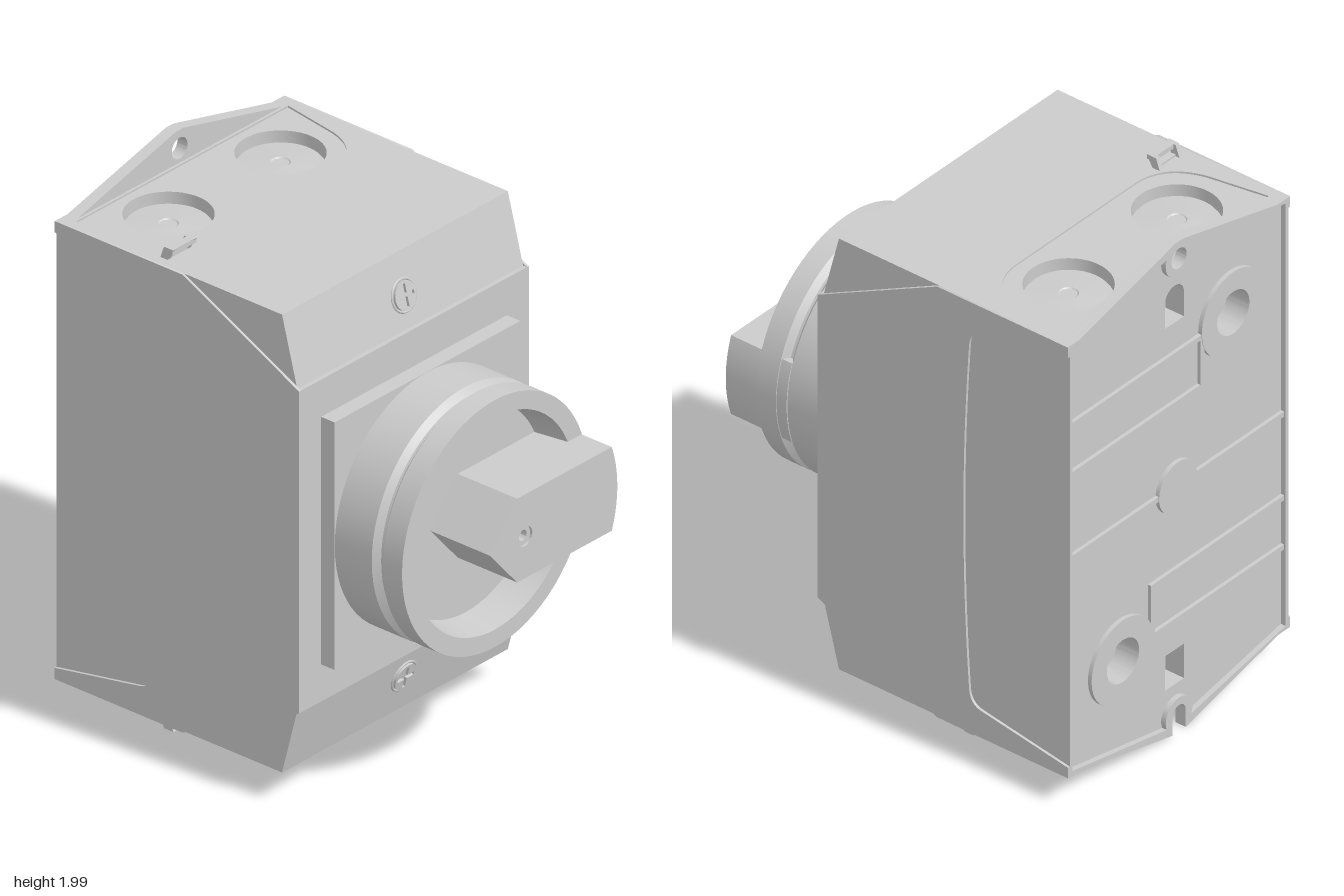
import * as THREE from 'three';
import { toCreasedNormals } from 'three/addons/utils/BufferGeometryUtils.js';

const mat = new THREE.MeshStandardMaterial({ color: 0xcccccc });
const V = (x, y) => new THREE.Vector2(x, y);
const poly = (pts) => new THREE.Shape(pts.map(([x, y]) => V(x, y)));
const rect = (x0, y0, x1, y1) => poly([[x0, y0], [x1, y0], [x1, y1], [x0, y1]]);
const circle = (x, y, r) => new THREE.Shape().absarc(x, y, r, 0, Math.PI * 2, false);
const holed = (shape, ...holes) => { shape.holes.push(...holes); return shape; };

function add(parent, name, geo, x = 0, y = 0, z = 0) {
  const m = new THREE.Mesh(geo, mat);
  m.name = name;
  m.position.set(x, y, z);
  parent.add(m);
  return m;
}
// Extrusion along z from z0 to z1
function slab(shape, z0, z1) {
  const g = new THREE.ExtrudeGeometry(shape, { depth: z1 - z0, bevelEnabled: false, curveSegments: 32 });
  return toCreasedNormals(g.translate(0, 0, z0), 0.5);
}
// Shape (-z, y) extruded along x; shape (x, -z) extruded along y
const sideSlab = (shape, x0, x1) => slab(shape, x0, x1).rotateY(Math.PI / 2);
const flatSlab = (shape, y0, y1) => slab(shape, y0, y1).rotateX(-Math.PI / 2);
// Turned part with its axis along y
const turned = (pts) => toCreasedNormals(new THREE.LatheGeometry(pts.map(([r, y]) => V(r, y)), 72), 0.5);

// Upright slot with rounded top
function archSlot(x, y0, y1, w) {
  const s = new THREE.Shape();
  s.moveTo(x - w, y0);
  s.lineTo(x + w, y0);
  s.lineTo(x + w, y1 - w);
  s.absarc(x, y1 - w, w, 0, Math.PI, false);
  return s;
}

// Pointed back outline with an open notch at the bottom
function backOutline() {
  const s = new THREE.Shape();
  s.moveTo(0.035, 0.008);
  s.lineTo(0.52, 0.125);
  s.lineTo(0.575, 0.125);
  s.lineTo(0.575, 1.875);
  s.lineTo(0.52, 1.875);
  s.lineTo(0.02, 2);
  s.lineTo(-0.02, 2);
  s.lineTo(-0.52, 1.875);
  s.lineTo(-0.575, 1.875);
  s.lineTo(-0.575, 0.125);
  s.lineTo(-0.52, 0.125);
  s.lineTo(-0.035, 0.008);
  s.lineTo(-0.035, 0.08);
  s.absarc(0, 0.08, 0.035, Math.PI, 0, true);
  return s;
}

// Inside edge of the back rim, passing around both mounting holes
function rimOpening() {
  const s = new THREE.Shape();
  s.moveTo(0.56, 0.142);
  s.lineTo(0.56, 1.858);
  s.absarc(0, 1.93, 0.07, 0.4, Math.PI - 0.4, true);
  s.lineTo(-0.56, 1.858);
  s.lineTo(-0.56, 0.142);
  s.absarc(0, 0.075, 0.07, Math.PI + 0.4, -0.4, true);
  return s;
}

function buildBack(parent) {
  const g = new THREE.Group();
  g.name = 'back';
  parent.add(g);
  const openings = () => {
    const low = rect(-0.05, 0.19, 0.05, 0.33);
    return [archSlot(0, 1.66, 1.81, 0.05), low, circle(-0.29, 1.555, 0.085), circle(0.29, 0.445, 0.085)];
  };
  add(g, 'backWall', slab(holed(rect(-0.575, 0.185, 0.575, 1.815), ...openings()), -0.745, -0.69));
  add(g, 'backPanel', slab(holed(backOutline(), circle(0, 1.93, 0.04), ...openings()), -0.77, -0.745));
  add(g, 'backRim', slab(holed(backOutline(), circle(0, 1.93, 0.04), rimOpening()), -0.79, -0.77));
  add(g, 'centreDisc', slab(circle(0, 1, 0.1), -0.786, -0.77));
  add(g, 'middleRib', new THREE.BoxGeometry(1.14, 0.02, 0.014), 0, 1, -0.777);
  // Rings and rib channels repeat with a half turn
  for (const s of [1, -1]) {
    add(g, 'holeRing', slab(holed(circle(-0.29 * s, 1 + 0.555 * s, 0.165), circle(-0.29 * s, 1 + 0.555 * s, 0.085)), -0.786, -0.77));
    for (const y of [0.34, 0.54])
      add(g, 'rib', new THREE.BoxGeometry(0.7, 0.02, 0.014), 0.22 * s, 1 + y * s, -0.777);
    add(g, 'ribEnd', new THREE.BoxGeometry(0.02, 0.22, 0.014), -0.13 * s, 1 + 0.44 * s, -0.777);
  }
}

// Side skin with a shallow recess open to the back
function sideSkin() {
  const s = new THREE.Shape();
  s.moveTo(0.79, 0.125);
  s.lineTo(0.79, 0.168);
  s.lineTo(0.41, 0.235);
  s.quadraticCurveTo(0.365, 0.245, 0.36, 0.3);
  s.quadraticCurveTo(0.31, 1, 0.36, 1.7);
  s.quadraticCurveTo(0.365, 1.755, 0.41, 1.765);
  s.lineTo(0.79, 1.832);
  s.lineTo(0.79, 1.875);
  s.lineTo(0.22, 1.875);
  s.lineTo(-0.3, 1.615);
  s.lineTo(-0.3, 0.385);
  s.lineTo(0.22, 0.125);
  return s;
}

// End wall with two knockouts in a tapered recess, and the cover screw
function endWall() {
  const g = new THREE.Group();
  const outline = () => rect(-0.575, 0.22, 0.575, 0.745);
  const recess = new THREE.Shape();
  recess.moveTo(-0.54, 0.735);
  recess.lineTo(-0.5, 0.5);
  recess.quadraticCurveTo(-0.46, 0.34, -0.31, 0.34);
  recess.lineTo(0.31, 0.34);
  recess.quadraticCurveTo(0.46, 0.34, 0.5, 0.5);
  recess.lineTo(0.54, 0.735);
  const xs = [-0.285, 0.285];
  add(g, 'knockoutWall', flatSlab(holed(outline(), ...xs.map((x) => circle(x, 0.545, 0.155))), 1.815, 1.868));
  add(g, 'recessBorder', flatSlab(holed(outline(), recess), 1.868, 1.875));
  for (const x of xs)
    add(g, 'knockout', turned([[0.146, 0], [0.146, 0.012], [0.035, 0.018], [0.03, 0.014], [0, 0.014]]), x, 1.815, -0.545);

  // Screw head with a cross slot, lying on the sloped cover
  const a = 0.042, b = 0.007;
  const cross = poly([[a, -b], [a, b], [b, b], [b, a], [-b, a], [-b, b], [-a, b], [-a, -b], [-b, -b], [-b, -a], [b, -a], [b, -b]]);
  const screw = new THREE.Group();
  screw.name = 'coverScrew';
  screw.position.set(0, 1.727, 0.254);
  screw.rotation.x = -0.255;
  add(screw, 'screwHead', slab(holed(circle(0, 0, 0.052), cross), -0.004, 0.01));
  add(screw, 'screwSeat', new THREE.TorusGeometry(0.058, 0.005, 8, 40));
  g.add(screw);
  return g;
}

// Small bracket standing on an end wall
function clip(x, up) {
  const g = new THREE.Group();
  g.name = 'clip';
  const leg = poly([[0.33, 1.87], [0.36, 1.87], [0.342, 1.92], [0.3, 1.92]]);
  add(g, 'clipLeg', sideSlab(leg, -0.06, -0.043));
  add(g, 'clipLeg', sideSlab(leg, 0.043, 0.06));
  add(g, 'clipBar', new THREE.BoxGeometry(0.12, 0.018, 0.03), 0, 1.911, -0.318);
  add(g, 'clipFoot', new THREE.BoxGeometry(0.09, 0.012, 0.015), 0, 1.876, -0.335);
  g.position.x = x;
  if (!up) {
    g.rotation.z = Math.PI;
    g.position.y = 2;
  }
  return g;
}

function buildDial(parent) {
  const g = new THREE.Group();
  g.name = 'dial';
  parent.add(g);
  add(g, 'dialPlate', new THREE.BoxGeometry(0.946, 0.946, 0.06), 0, 1, 0.33);
  const knob = turned([[0, 0.355], [0.472, 0.355], [0.472, 0.525], [0.447, 0.545], [0.447, 0.555],
    [0.472, 0.575], [0.472, 0.66], [0.405, 0.66], [0.385, 0.53], [0, 0.53]]);
  add(g, 'knobRing', knob.rotateX(Math.PI / 2), 0, 1, 0);
  // Pointed grip whose far end follows the ring
  const grip = new THREE.Shape();
  const t = Math.asin(0.16 / 0.47);
  grip.moveTo(-0.18, 0);
  grip.lineTo(-0.04, -0.16);
  grip.absarc(0, 0, 0.47, -t, t, false);
  grip.lineTo(-0.04, 0.16);
  add(g, 'grip', slab(holed(grip, circle(0, 0, 0.037)), 0.53, 0.795), 0, 1, 0);
  add(g, 'gripScrew', slab(holed(circle(0, 0, 0.037), circle(0, 0, 0.02)), 0.7, 0.785), 0, 1, 0);
  add(g, 'gripScrewBase', slab(circle(0, 0, 0.037), 0.7, 0.76), 0, 1, 0);
}

export function createModel() {
  const model = new THREE.Group();
  model.name = 'switchEnclosure';

  // Housing core with sloped covers set back behind a small ledge
  const half = [[0.69, 1.815], [0.22, 1.815], [0.22, 1.875], [-0.215, 1.875], [-0.283, 1.615], [-0.3, 1.615]];
  const core = [...half, ...half.map(([z, y]) => [z, 2 - y]).reverse()];
  add(model, 'housing', sideSlab(poly(core), -0.575, 0.575));
  add(model, 'leftSide', sideSlab(sideSkin(), 0.575, 0.585));
  add(model, 'rightSide', sideSlab(sideSkin(), -0.585, -0.575));

  const top = endWall();
  top.name = 'topEnd';
  const bottom = endWall();
  bottom.name = 'bottomEnd';
  bottom.rotation.z = Math.PI;
  bottom.position.y = 2;
  model.add(top, bottom, clip(-0.48, true), clip(-0.48, false), clip(0.48, false));

  buildBack(model);
  buildDial(model);
  return model;
}
